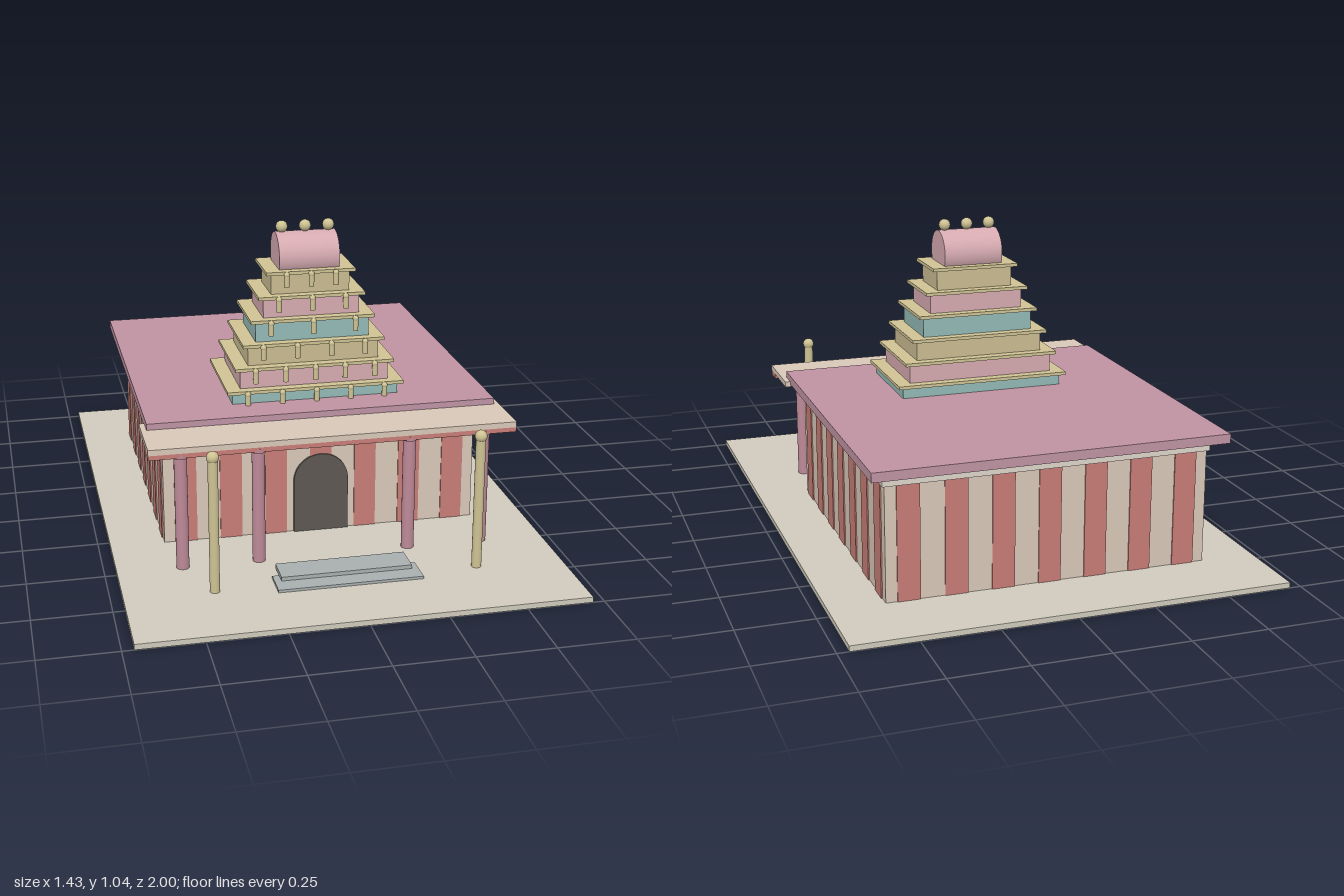
import * as THREE from 'three';

const mat = (color) => new THREE.MeshStandardMaterial({ color });
const M = {
  stone: mat(0xd0cbbd), cream: mat(0xd9c8b8), red: mat(0xc87d76), roof: mat(0xbf93a3),
  pink: mat(0xd6abb1), tan: mat(0xcbbd92), teal: mat(0x93bab6), column: mat(0xbd8a98),
  gold: mat(0xcfc394), step: mat(0xa9afaf), door: mat(0x5e5852), trim: mat(0xded6cc),
};

export function createModel() {
  const model = new THREE.Group();
  model.name = 'temple';

  const add = (name, geometry, material, x, y, z, parent = model) => {
    const mesh = new THREE.Mesh(geometry, material);
    mesh.name = name;
    mesh.position.set(x, y, z);
    parent.add(mesh);
    return mesh;
  };
  // Box given by its ranges on each axis
  const box = (name, material, x0, x1, y0, y1, z0, z1, parent) =>
    add(name, new THREE.BoxGeometry(x1 - x0, y1 - y0, z1 - z0), material,
      (x0 + x1) / 2, (y0 + y1) / 2, (z0 + z1) / 2, parent);
  const post = (name, material, r, y0, y1, x, z, parent) =>
    add(name, new THREE.CylinderGeometry(r, r, y1 - y0, 20), material, x, (y0 + y1) / 2, z, parent);
  const ball = (name, r, x, y, z, parent) =>
    add(name, new THREE.SphereGeometry(r, 20, 14), M.gold, x, y, z, parent);

  // Ground slab, hall and roof
  const floor = 0.018;
  box('groundSlab', M.stone, -0.713, 0.713, 0, floor, -1, 1);
  box('hallWalls', M.cream, -0.533, 0.533, floor, 0.4, -0.746, 0.321);
  box('wallTrim', M.trim, -0.541, 0.541, 0.395, 0.43, -0.754, 0.329);
  box('hallRoof', M.roof, -0.587, 0.587, 0.43, 0.461, -0.803, 0.37);

  // Painted wall stripes, seven on each side
  const stripes = new THREE.Group();
  stripes.name = 'wallStripes';
  model.add(stripes);
  const zMid = -0.2125, half = 0.037, pitch = 0.153;
  for (let i = -3; i <= 3; i++) {
    const c = i * pitch;
    box('stripeAcross', M.red, c - half, c + half, floor, 0.395, -0.75, 0.325, stripes);
    box('stripeAlong', M.red, -0.537, 0.537, floor, 0.395, zMid + c - half, zMid + c + half, stripes);
  }

  // Arched doorway
  const arch = new THREE.Shape();
  arch.moveTo(-0.093, 0);
  arch.lineTo(0.093, 0);
  arch.lineTo(0.093, 0.182);
  arch.absarc(0, 0.182, 0.093, 0, Math.PI, false);
  arch.lineTo(-0.093, 0);
  add('doorway', new THREE.ExtrudeGeometry(arch, { depth: 0.01, bevelEnabled: false, curveSegments: 24 }),
    M.door, 0, floor, 0.32);

  // Porch canopy on four columns
  box('porchCanopy', M.cream, -0.605, 0.605, 0.421, 0.44, 0.305, 0.547);
  box('porchBeam', M.red, -0.605, 0.605, 0.405, 0.421, 0.485, 0.546);
  for (const x of [-0.5, -0.25, 0.25, 0.5]) {
    post('porchColumn', M.column, 0.021, floor, 0.406, x, 0.52);
    post('columnCapital', M.column, 0.027, 0.4, 0.415, x, 0.52);
  }

  // Entrance steps
  box('lowerStep', M.step, -0.235, 0.235, 0.012, 0.027, 0.663, 0.766);
  box('upperStep', M.step, -0.213, 0.213, 0.025, 0.04, 0.605, 0.705);

  // Free-standing lamp posts
  for (const x of [-0.427, 0.427]) {
    post('lampPost', M.gold, 0.016, floor, 0.455, x, 0.712);
    ball('lampBall', 0.02, x, 0.467, 0.712);
  }

  // Stepped tower with ledges and small statues
  const tower = new THREE.Group();
  tower.name = 'tower';
  tower.position.z = 0.0725;
  model.add(tower);
  const tops = [0.508, 0.581, 0.656, 0.733, 0.808, 0.887];
  const counts = [5, 5, 4, 3, 3, 3];
  const paints = [M.teal, M.pink, M.tan];
  let base = 0.455;
  tops.forEach((top, i) => {
    const hx = 0.284 - i * 0.03, hz = 0.171 - i * 0.0172;
    box('towerTier', paints[i % 3 === 0 ? 0 : i % 3], -hx, hx, base, top - 0.01, -hz, hz, tower);
    box('tierLedge', M.gold, -hx - 0.018, hx + 0.018, top - 0.011, top, -hz - 0.016, hz + 0.016, tower);
    const span = hx - 0.05;
    for (let k = 0; k < counts[i]; k++) {
      const x = -span + (2 * span * k) / (counts[i] - 1);
      post('statueBody', M.gold, 0.009, top - 0.052, top - 0.012, x, hz + 0.019, tower);
      ball('statueHead', 0.01, x, top - 0.01, hz + 0.019, tower);
    }
    base = top;
  });

  // Barrel crown and its three finials
  const barrel = add('barrelCrown', new THREE.CylinderGeometry(0.079, 0.079, 0.206, 40), M.pink, 0, 0.921, 0, tower);
  barrel.rotation.z = Math.PI / 2;
  for (const x of [-0.08, 0, 0.08]) ball('finial', 0.02, x, 1.018, 0, tower);

  return model;
}
